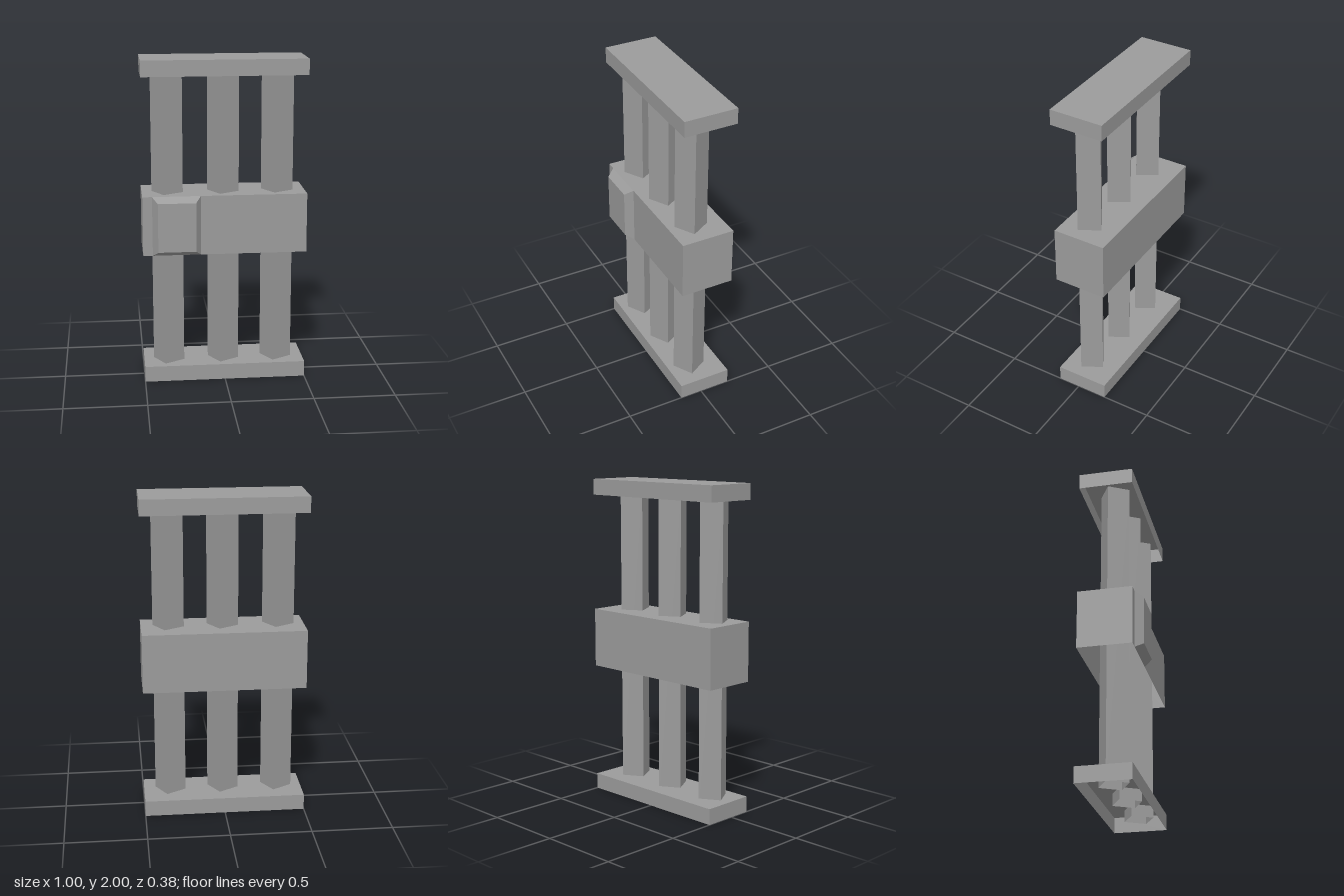
import * as THREE from 'three';

const material = new THREE.MeshStandardMaterial({
  color: 0x9b9b9b, flatShading: true, side: THREE.DoubleSide,
});

// Box with one face left out (order: +x, -x, +y, -y, +z, -z)
function openBox(w, h, d, face) {
  const geo = new THREE.BoxGeometry(w, h, d);
  const index = Array.from(geo.index.array);
  index.splice(face * 6, 6);
  geo.setIndex(index);
  geo.clearGroups();
  return geo;
}

export function createModel() {
  const group = new THREE.Group();
  const add = (name, geo, x, y, z) => {
    const mesh = new THREE.Mesh(geo, material);
    mesh.name = name;
    mesh.position.set(x, y, z);
    group.add(mesh);
  };

  // Hollow rails, open underneath
  const rails = [
    ['bottomRail', 0, 0.098],
    ['middleRail', 0.818, 1.184],
    ['topRail', 1.903, 2],
  ];
  for (const [name, y0, y1] of rails) {
    add(name, openBox(1, y1 - y0, 0.332, 3), 0, (y0 + y1) / 2, -0.026);
  }

  // Square bars, twisted 15 degrees about their own axis, with open ends
  const barBottom = 0.025, barTop = 1.935;
  for (const x of [-0.344, -0.001, 0.332]) {
    const bar = new THREE.CylinderGeometry(
      0.098, 0.098, barTop - barBottom, 4, 1, true, -Math.PI / 12);
    add('bar', bar, x, (barBottom + barTop) / 2, 0);
  }

  // Lock plate with bevelled sides, open against the middle rail
  const lock = openBox(0.294, 0.366, 0.05, 5);
  const p = lock.attributes.position;
  for (let i = 0; i < p.count; i++) {
    if (p.getZ(i) > 0) {
      p.setX(i, p.getX(i) - Math.sign(p.getX(i)) * 0.032);
      p.setY(i, p.getY(i) - Math.sign(p.getY(i)) * 0.032);
    }
  }
  lock.computeVertexNormals();
  add('lockPlate', lock, -0.295, 1.001, 0.165);

  return group;
}
